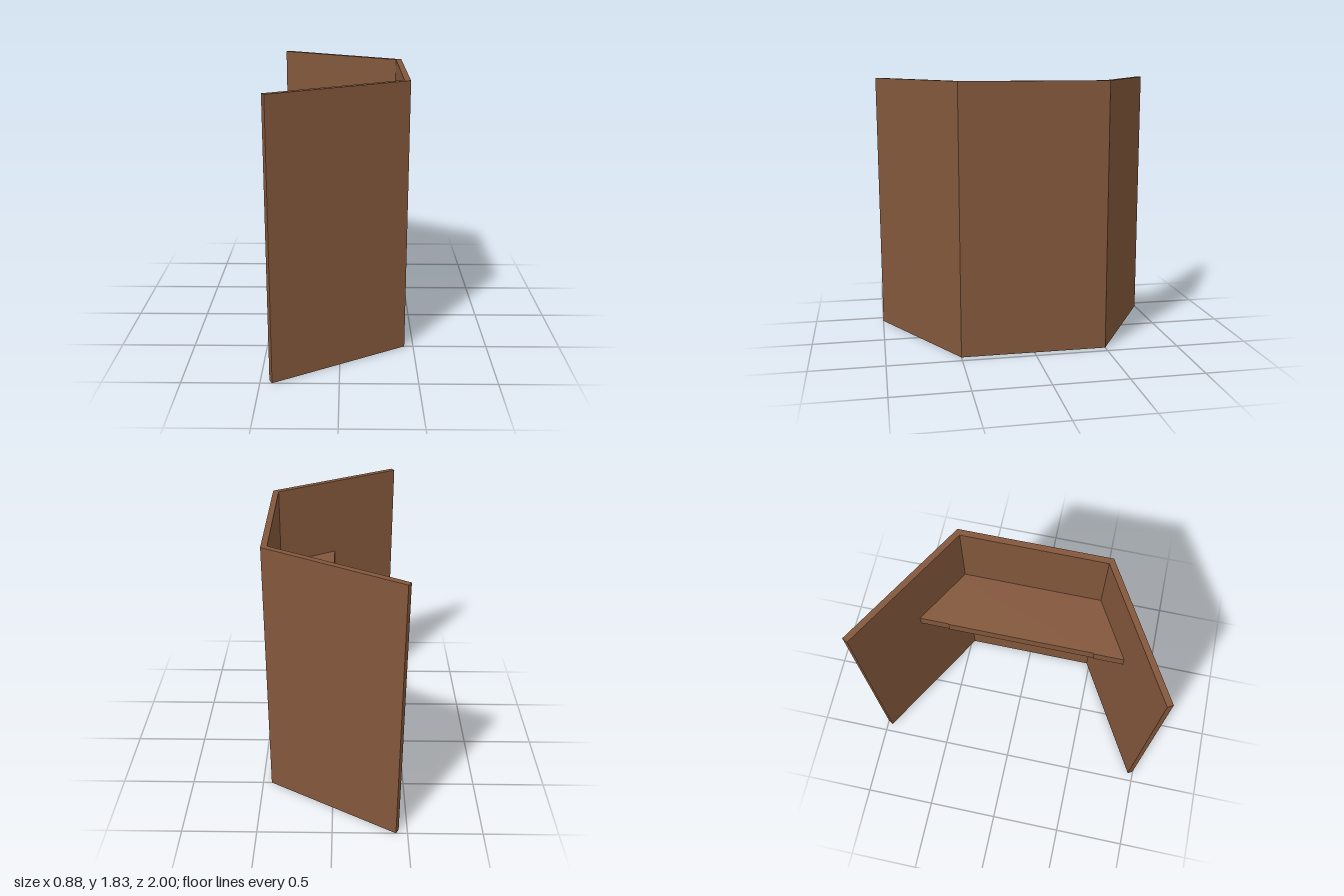
import * as THREE from 'three';

const HEIGHT = 1.83;

export function createModel() {
  const model = new THREE.Group();
  model.name = 'foldingScreenWithShelf';

  const wood = new THREE.MeshStandardMaterial({ color: 0x83573b });
  wood.name = 'brownWood';

  // Upright prism from an [x, z] outline, standing between two heights
  function addPrism(name, outline, bottom, top) {
    const shape = new THREE.Shape(outline.map(([x, z]) => new THREE.Vector2(x, -z)));
    const geometry = new THREE.ExtrudeGeometry(shape, { depth: top - bottom, bevelEnabled: false });
    geometry.rotateX(-Math.PI / 2);
    geometry.translate(0, bottom, 0);
    const mesh = new THREE.Mesh(geometry, wood);
    mesh.name = name;
    model.add(mesh);
  }

  // Middle panel, mitred at both ends
  addPrism('middlePanel', [[0.44, -0.5], [0.44, 0.5], [0.4, 0.477], [0.4, -0.477]], 0, HEIGHT);

  // Shelf board between the wings
  const shelfBottom = 1.19, shelfTop = 1.275;
  addPrism('shelf', [[0.4, -0.477], [0.4, 0.477], [0.36, 0.5], [0.01, 0.5], [0.01, -0.5], [0.36, -0.5]],
    shelfBottom, shelfTop);

  for (const side of [1, -1]) {
    const label = side > 0 ? 'front' : 'back';
    // Angled wing panel
    addPrism(label + 'Wing',
      [[0.44, 0.5], [-0.423, 1], [-0.443, 0.965], [0.4, 0.477]].map(([x, z]) => [x, z * side]), 0, HEIGHT);
    // Triangular shelf end that meets the wing
    const edge = side > 0 ? 0.005 : 0.014;
    addPrism(label + 'ShelfEnd',
      [[0.36, 0.5], [edge, 0.705], [edge, 0.5]].map(([x, z]) => [x, z * side]), shelfBottom, shelfTop);
  }

  return model;
}
